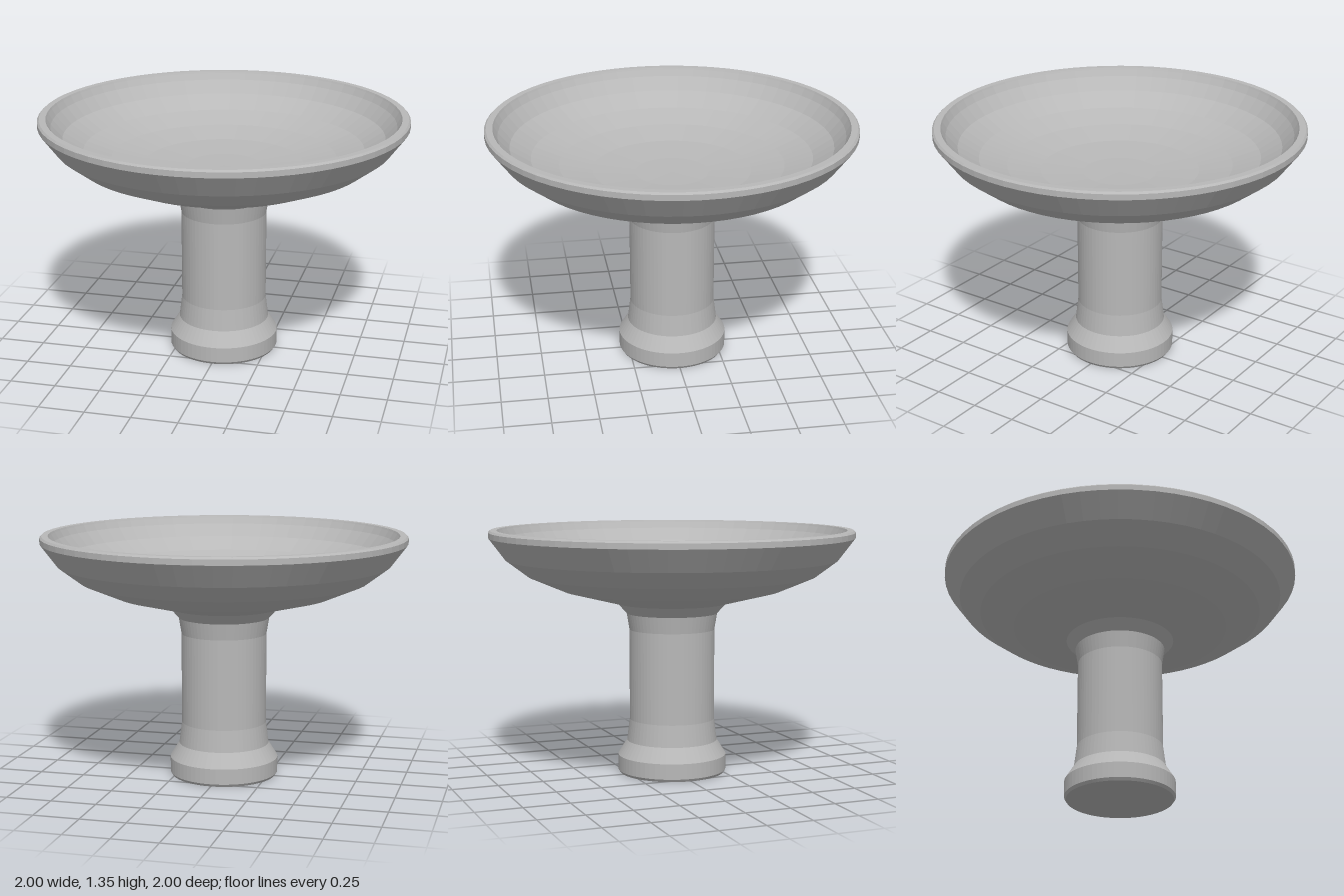
import * as THREE from 'three';

const SEGMENTS = 64;

// Revolve a bottom-to-top profile of [radius, height] pairs around y
function revolve(name, profile, material) {
  const points = profile.map(([r, y]) => new THREE.Vector2(r, y));
  const mesh = new THREE.Mesh(new THREE.LatheGeometry(points, SEGMENTS), material);
  mesh.name = name;
  return mesh;
}

export function createModel() {
  const group = new THREE.Group();
  group.name = 'pedestalDish';

  const grey = new THREE.MeshStandardMaterial({ color: 0xb8b8b8, flatShading: true });
  grey.name = 'grey';

  // Flared foot and column, up to the collar under the bowl
  group.add(revolve('pedestal', [
    [0, 0], [0.29, 0], [0.3, 0.015], [0.3, 0.1], [0.25, 0.18], [0.235, 0.3],
    [0.235, 0.8], [0.25, 0.89], [0.3, 0.945],
  ], grey));

  // Underside of the bowl, rounded rim, then down the inside to the centre
  group.add(revolve('bowl', [
    [0.3, 0.945], [0.6, 1.02], [0.79, 1.1], [0.91, 1.19], [1, 1.31], [1, 1.34],
    [0.99, 1.35], [0.955, 1.35], [0.95, 1.34], [0.93, 1.305], [0.87, 1.235],
    [0.76, 1.165], [0.61, 1.115], [0.43, 1.08], [0.2, 1.063], [0, 1.06],
  ], grey));

  return group;
}
